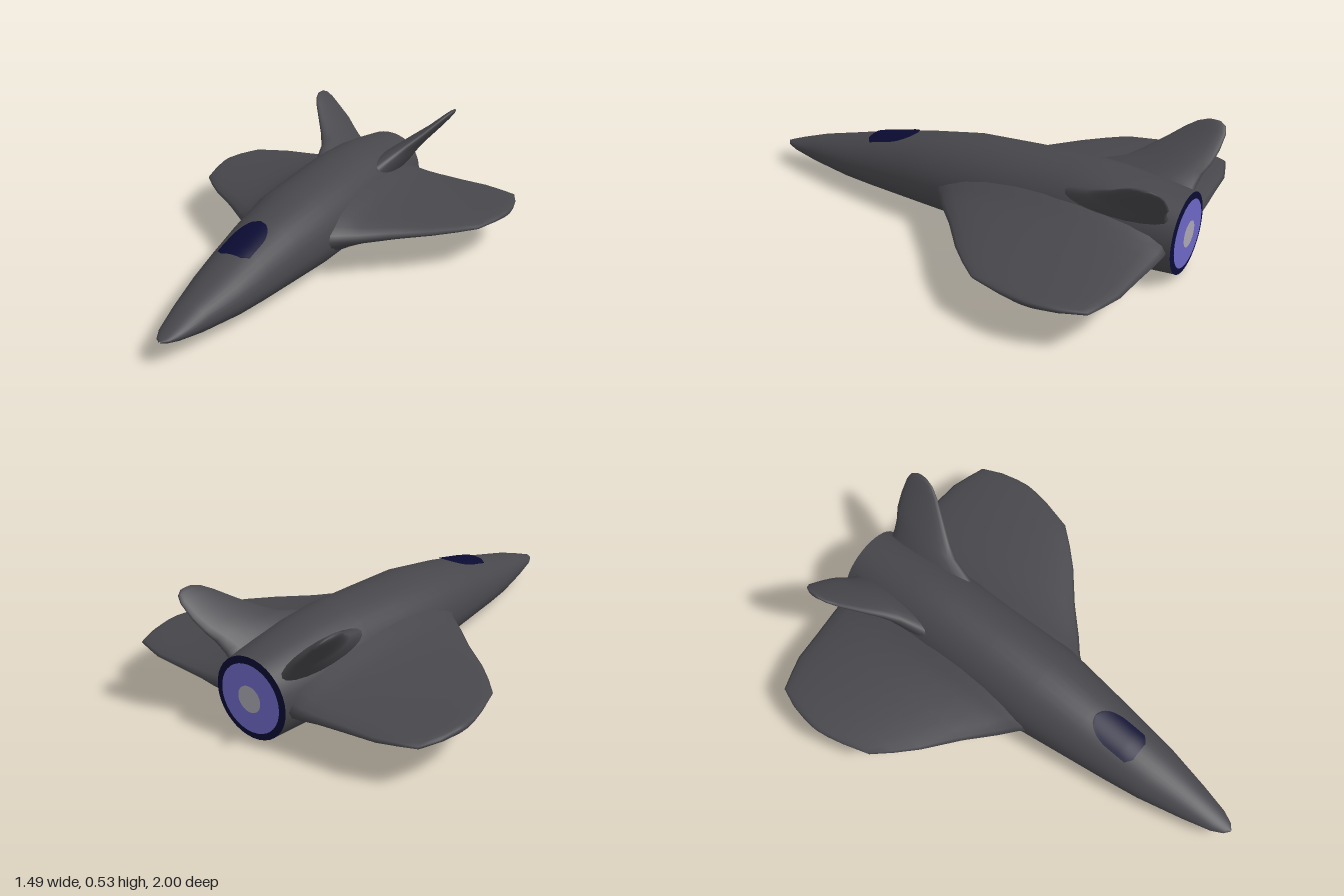
import * as THREE from 'three';

const mat = (name, color) => {
  const m = new THREE.MeshStandardMaterial({ color });
  m.name = name;
  return m;
};

// Joins closed cross-sections into one smooth skin; mirrored skins reverse their corners
function loft(rings, mirrored = false, capEnd = false) {
  const n = rings[0].length, pos = [], idx = [];
  const tri = (a, b, c) => (mirrored ? idx.push(a, c, b) : idx.push(a, b, c));
  for (const ring of rings) for (const [x, y, z] of ring) pos.push(mirrored ? -x : x, y, z);
  for (let i = 0; i < rings.length - 1; i++) {
    for (let j = 0; j < n; j++) {
      const a = i * n + j, b = i * n + (j + 1) % n;
      tri(a, a + n, b);
      tri(b, a + n, b + n);
    }
  }
  if (capEnd) {
    const last = rings[rings.length - 1], base = (rings.length - 1) * n;
    const c = [0, 1, 2].map(k => last.reduce((s, p) => s + p[k], 0) / n);
    pos.push(mirrored ? -c[0] : c[0], c[1], c[2]);
    for (let j = 0; j < n; j++) tri(base + j, base + n, base + (j + 1) % n);
  }
  const g = new THREE.BufferGeometry();
  g.setAttribute('position', new THREE.Float32BufferAttribute(pos, 3));
  g.setIndex(idx);
  g.computeVertexNormals();
  return g;
}

// Fuselage stations: z, half width, top, bottom, height of widest line
const BODY = [
  [1, 0.004, 0.099, 0.091, 0.095], [0.98, 0.028, 0.106, 0.085, 0.096],
  [0.93, 0.053, 0.125, 0.073, 0.099], [0.8, 0.086, 0.172, 0.049, 0.107],
  [0.6, 0.13, 0.226, 0.03, 0.12], [0.45, 0.152, 0.27, 0.024, 0.13],
  [0.25, 0.178, 0.318, 0.018, 0.148], [0, 0.21, 0.364, 0.012, 0.168],
  [-0.25, 0.212, 0.382, 0.006, 0.178], [-0.5, 0.21, 0.4, 0.005, 0.185],
  [-0.68, 0.205, 0.394, 0.008, 0.19], [-0.85, 0.19, 0.375, 0.014, 0.19],
  [-0.985, 0.17, 0.357, 0.02, 0.188],
];

function bodyRing([z, w, top, bot, mid]) {
  return Array.from({ length: 36 }, (_, j) => {
    const a = j / 36 * Math.PI * 2, s = Math.sin(a);
    return [w * Math.cos(a), mid + s * (s > 0 ? top - mid : mid - bot), z];
  });
}

// Height of the upper fuselage skin
function skinTop(x, z) {
  const i = Math.max(1, BODY.findIndex(s => s[0] <= z));
  const p = BODY[i - 1], q = BODY[i], t = (p[0] - z) / (p[0] - q[0]);
  const [, w, top, , mid] = p.map((v, k) => v + (q[k] - v) * t);
  return mid + (top - mid) * Math.sqrt(Math.max(0, 1 - (x / w) ** 2));
}

// Wing stations: x, leading edge z, trailing edge z, bottom, top
const WING = [
  [0.08, 0.14, -0.97, 0.03, 0.33], [0.18, 0.08, -0.97, 0.06, 0.295],
  [0.22, 0.03, -0.97, 0.078, 0.272], [0.29, -0.03, -0.965, 0.11, 0.25],
  [0.4, -0.135, -0.955, 0.122, 0.23], [0.54, -0.25, -0.945, 0.14, 0.213],
  [0.62, -0.33, -0.92, 0.149, 0.205], [0.69, -0.41, -0.895, 0.158, 0.198],
  [0.725, -0.53, -0.81, 0.161, 0.195], [0.74, -0.6, -0.74, 0.165, 0.191],
  [0.746, -0.65, -0.69, 0.171, 0.185],
];

function wingRing([x, le, te, bot, top]) {
  return Array.from({ length: 24 }, (_, j) => {
    const a = j / 24 * Math.PI * 2, s = Math.sin(a);
    const y = 0.178 + s * (s > 0 ? top - 0.178 : 0.178 - bot);
    return [x, y, (le + te) / 2 + (le - te) / 2 * Math.cos(a)];
  });
}

// Tail fin stations: x, y, leading edge z, trailing edge z, half thickness
const FIN = [
  [0.1, 0.27, -0.4, -0.955, 0.06], [0.15, 0.32, -0.5, -0.955, 0.05],
  [0.185, 0.36, -0.63, -0.965, 0.037], [0.22, 0.395, -0.69, -0.985, 0.029],
  [0.27, 0.44, -0.76, -0.997, 0.021], [0.32, 0.49, -0.83, -1, 0.015],
  [0.342, 0.513, -0.87, -0.99, 0.011], [0.354, 0.525, -0.91, -0.965, 0.007],
];

function finRing([x, y, le, te, h]) {
  return Array.from({ length: 20 }, (_, j) => {
    const a = j / 20 * Math.PI * 2, t = h * Math.sin(a);
    return [x - 0.69 * t, y + 0.72 * t, (le + te) / 2 + (le - te) / 2 * Math.cos(a)];
  });
}

// Thin window following the fuselage skin: rounded at the back, squared at the front
function canopyGeometry() {
  const g = new THREE.PlaneGeometry(2, 1, 12, 20);
  const p = g.attributes.position;
  for (let i = 0; i < p.count; i++) {
    const v = p.getY(i) + 0.5, z = 0.27 + 0.235 * (1 - v);
    const w = v < 0.5 ? 0.075 - 0.3 * Math.max(0, 0.1 - v)
      : 0.075 * Math.sqrt(Math.max(0, 1 - ((v - 0.5) / 0.5) ** 2));
    const x = p.getX(i) * w;
    p.setXYZ(i, x, skinTop(x, z) + 0.005, z);
  }
  g.computeVertexNormals();
  return g;
}

export function createModel() {
  const hull = mat('charcoal hull', 0x47464b);
  const navy = mat('navy glass', 0x0b0b33);
  const violet = mat('violet exhaust', 0x6c67c4);
  const pale = mat('pale exhaust core', 0xaaa6b2);

  const model = new THREE.Group();
  model.name = 'spacePlane';
  const add = (name, geometry, material) => {
    const mesh = new THREE.Mesh(geometry, material);
    mesh.name = name;
    model.add(mesh);
    return mesh;
  };

  add('fuselage', loft(BODY.map(bodyRing)), hull);
  add('canopy', canopyGeometry(), navy);

  // Mirrored wings and canted tail fins
  for (const [side, mirrored] of [['left', false], ['right', true]]) {
    add(side + 'Wing', loft(WING.map(wingRing), mirrored, true), hull);
    add(side + 'TailFin', loft(FIN.map(finRing), mirrored, true), hull);
  }

  // Engine exhaust closing the tail: rim, glow and core
  const discs = [['exhaustRim', 0.17, -0.985, navy], ['exhaustGlow', 0.142, -0.99, violet],
    ['exhaustCore', 0.055, -0.995, pale]];
  for (const [name, r, z, material] of discs) {
    const disc = add(name, new THREE.CircleGeometry(r, 36), material);
    disc.rotation.y = Math.PI;
    disc.position.set(0, 0.188, z);
  }
  return model;
}
